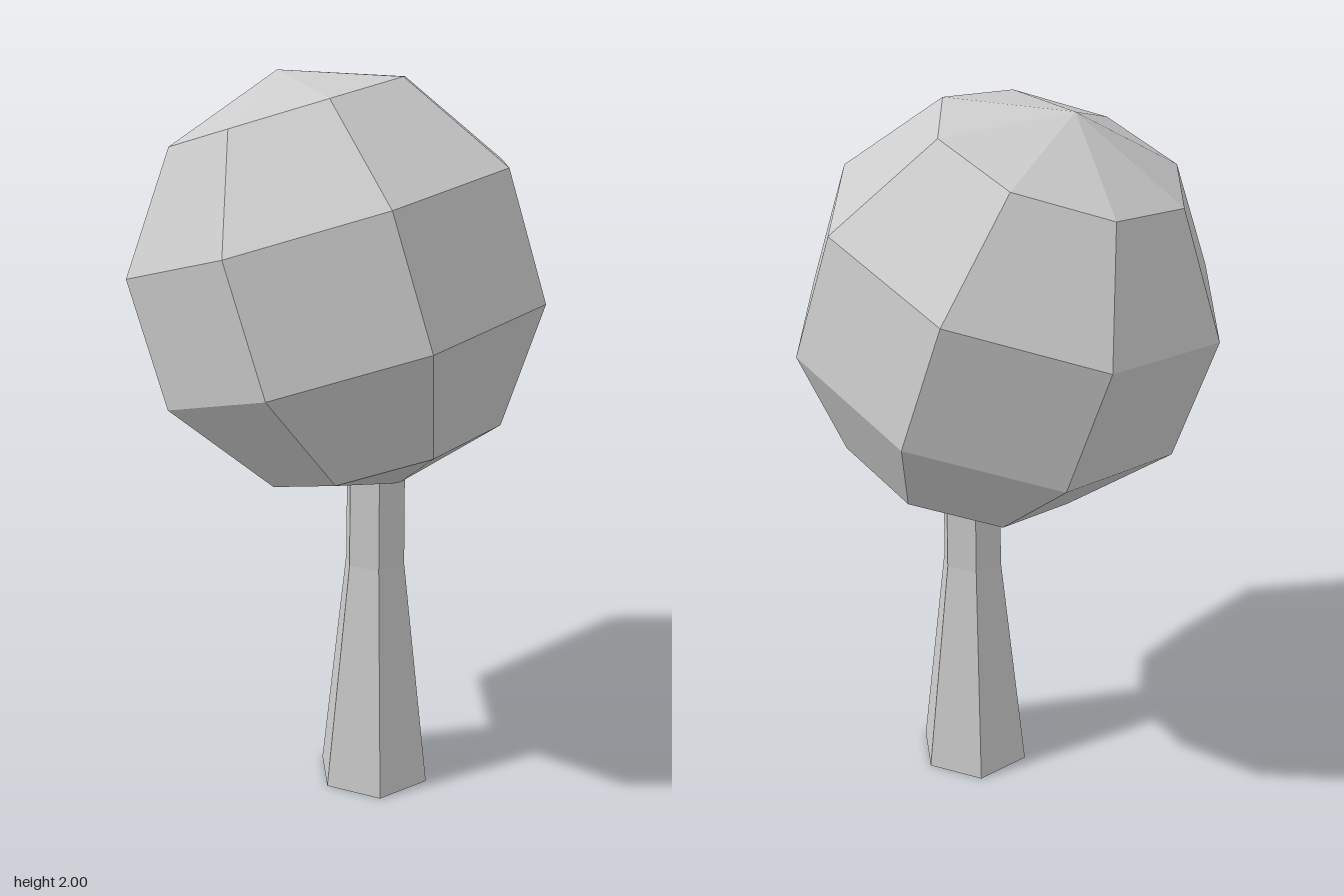
import * as THREE from 'three';

export function createModel() {
  const tree = new THREE.Group();
  tree.name = 'tree';
  const material = new THREE.MeshStandardMaterial({ color: 0xcccccc, flatShading: true });

  // Crown: faceted ball, leaning towards -x
  const radius = 0.575;
  const tilt = Math.PI / 10;
  const crown = new THREE.Mesh(new THREE.SphereGeometry(radius, 8, 5), material);
  crown.name = 'crown';
  crown.rotation.z = tilt;
  crown.position.y = 2 - radius * Math.cos(tilt);
  tree.add(crown);

  // Trunk: six-sided, flared to the ground, its top hidden in the crown
  const profile = [[0, 0], [0.165, 0], [0.088, 0.67], [0.086, 1.0], [0, 1.0]]
    .map(([r, y]) => new THREE.Vector2(r, y));
  const trunk = new THREE.Mesh(new THREE.LatheGeometry(profile, 6, Math.PI / 2), material);
  trunk.name = 'trunk';
  trunk.position.x = 0.11;
  tree.add(trunk);

  return tree;
}
